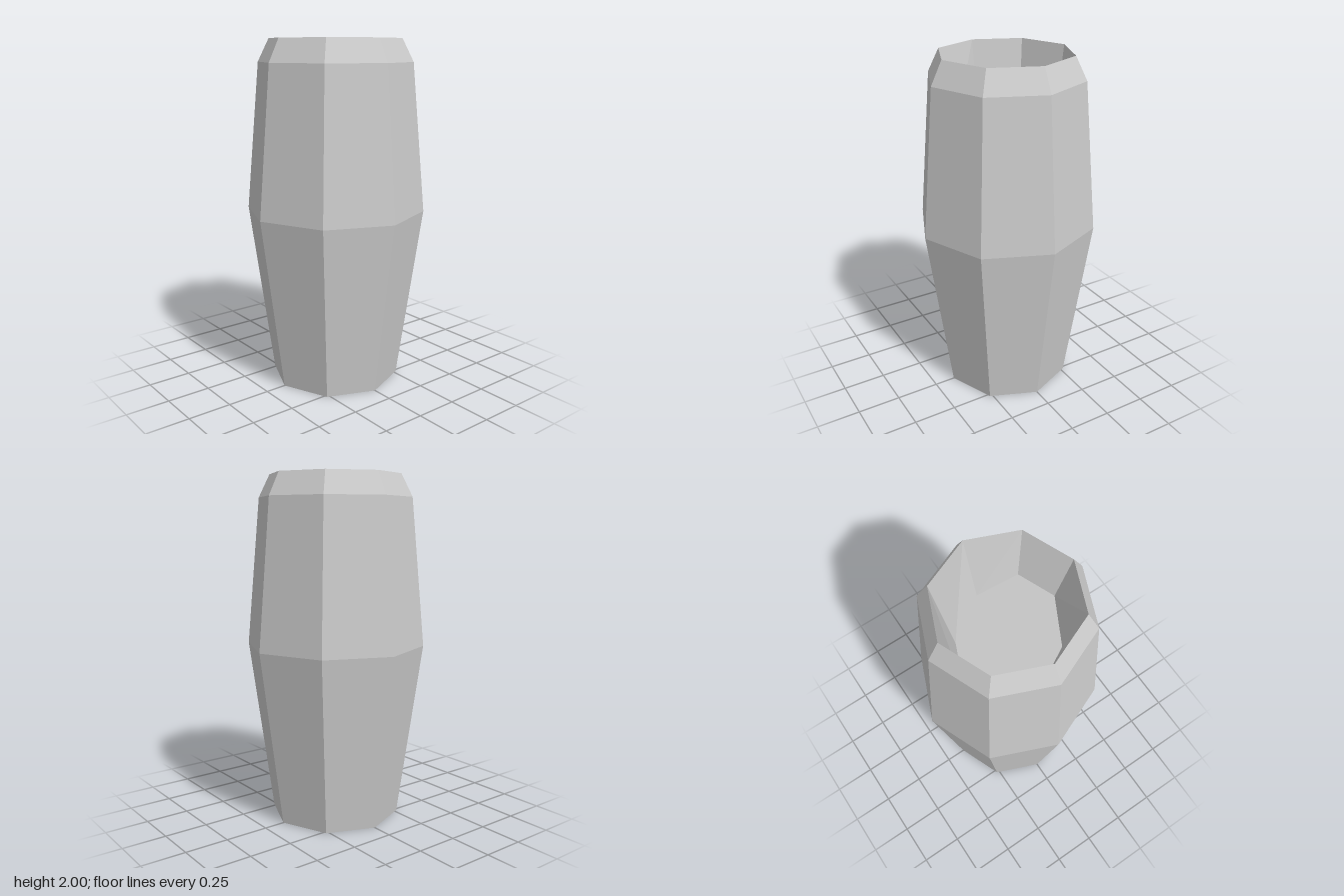
import * as THREE from 'three';

const SIDES = 8;
const material = () => new THREE.MeshStandardMaterial({ color: 0xcccccc, flatShading: true, side: THREE.DoubleSide });

// Ring of eight corners, the first on +z; the height may depend on the angle
function ring(radius, height) {
  return Array.from({ length: SIDES }, (_, i) => {
    const a = (i / SIDES) * Math.PI * 2;
    const y = typeof height === 'function' ? height(a) : height;
    return new THREE.Vector3(Math.sin(a) * radius, y, Math.cos(a) * radius);
  });
}

function meshFrom(name, points) {
  const geometry = new THREE.BufferGeometry().setFromPoints(points);
  geometry.computeVertexNormals();
  const mesh = new THREE.Mesh(geometry, material());
  mesh.name = name;
  return mesh;
}

// Wall of facets through successive rings
function wall(name, rings) {
  const points = [];
  for (let r = 0; r < rings.length - 1; r++) {
    const a = rings[r], b = rings[r + 1];
    for (let i = 0; i < SIDES; i++) {
      const j = (i + 1) % SIDES;
      points.push(a[i], a[j], b[j], a[i], b[j], b[i]);
    }
  }
  return meshFrom(name, points);
}

// Fan closing a ring
function cap(name, corners, centreY, up) {
  const centre = new THREE.Vector3(0, centreY, 0);
  const points = [];
  corners.forEach((p, i) => {
    const q = corners[(i + 1) % SIDES];
    points.push(centre, ...(up ? [p, q] : [q, p]));
  });
  return meshFrom(name, points);
}

export function createModel() {
  const group = new THREE.Group();
  group.name = 'vase';

  // Barrel-shaped outside with a bevelled shoulder
  const base = ring(0.378, 0);
  const rim = ring(0.378, 2);
  group.add(wall('outerBody', [base, ring(0.52, 1.02), ring(0.443, 1.87), rim]));
  group.add(cap('base', base, 0, false));

  // Tapering hollow with a sloping floor
  const floor = ring(0.288, (a) => 1.46 + 0.28 * Math.cos(a - Math.PI / 8));
  group.add(wall('innerWall', [rim, floor]));
  group.add(cap('innerFloor', floor, 1.46, true));

  return group;
}
